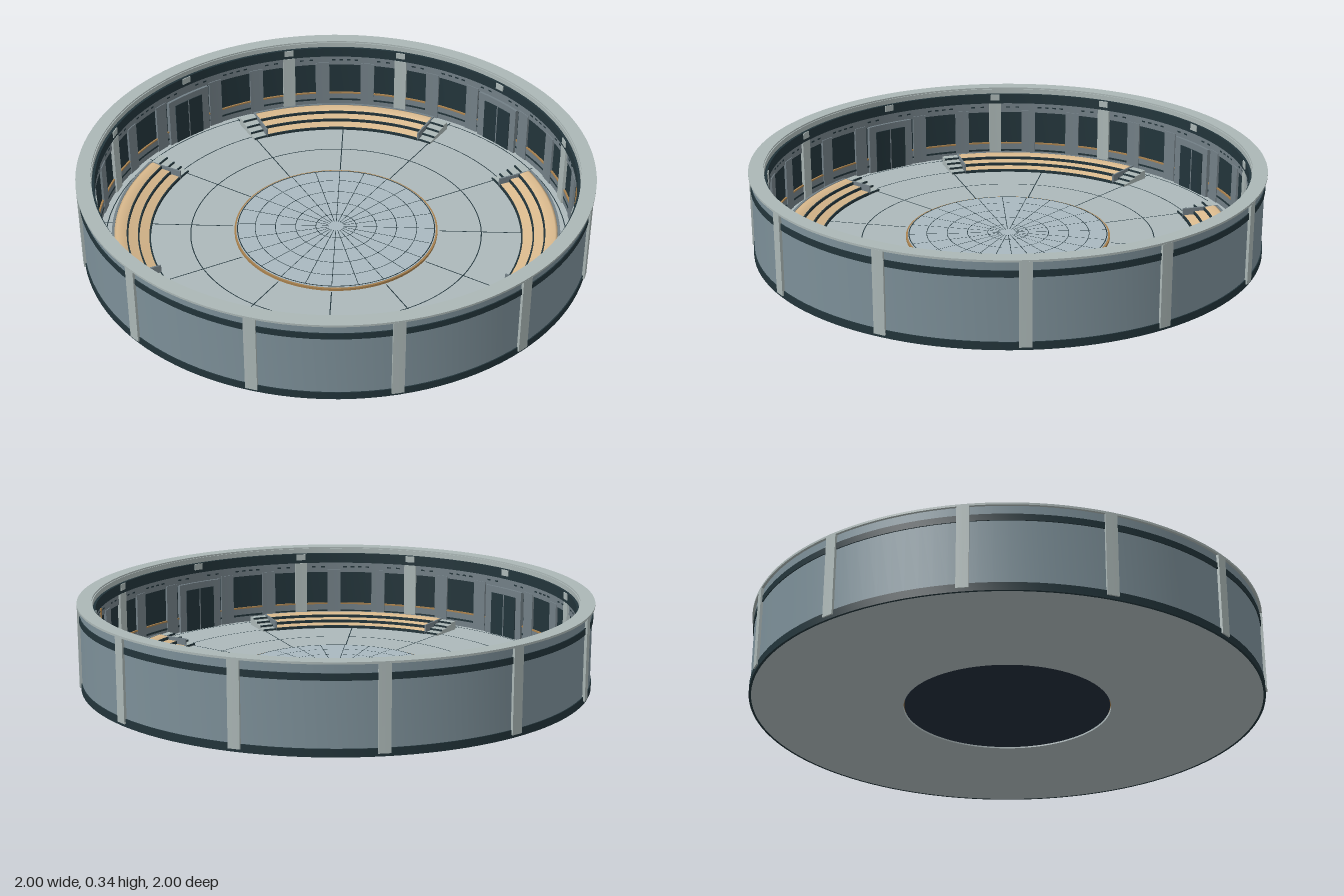
import * as THREE from 'three';
import { toCreasedNormals } from 'three/addons/utils/BufferGeometryUtils.js';

const mat = (name, color, side = THREE.FrontSide) => {
  const m = new THREE.MeshStandardMaterial({ color, side });
  m.name = name;
  return m;
};
const M = {
  floor: mat('pale grey', 0xacb8ba),
  stage: mat('pale blue grey', 0xa9b8bf),
  slate: mat('slate', 0x7c8f98),
  trim: mat('light trim', 0xabb7b6),
  frame: mat('frame grey', 0x727f86),
  dark: mat('dark teal', 0x22343a),
  seat: mat('tan seat', 0xd8b88c, THREE.DoubleSide),
  bronze: mat('bronze', 0xa8814e),
  navy: mat('navy', 0x222c3a),
};
const rad = THREE.MathUtils.degToRad;

export function createModel() {
  const root = new THREE.Group();
  root.name = 'roundArena';

  const add = (name, geo, material, parent = root) => {
    const mesh = new THREE.Mesh(geo, material);
    mesh.name = name;
    parent.add(mesh);
    return mesh;
  };
  const group = (name) => {
    const g = new THREE.Group();
    g.name = name;
    root.add(g);
    return g;
  };

  // Upright extrusion of a flat shape between two heights
  const raise = (shape, y0, y1, curveSegments) => {
    const geo = new THREE.ExtrudeGeometry(shape, { depth: y1 - y0, bevelEnabled: false, curveSegments });
    geo.rotateX(-Math.PI / 2).translate(0, y0, 0);
    return toCreasedNormals(geo, 0.5);
  };
  // Full ring
  const ring = (name, r0, r1, y0, y1, material, parent) => {
    const s = new THREE.Shape().absarc(0, 0, r1, 0, Math.PI * 2, false);
    s.holes.push(new THREE.Path().absarc(0, 0, r0, 0, Math.PI * 2, true));
    return add(name, raise(s, y0, y1, 60), material, parent);
  };
  // Curved block centred on an angle, in degrees
  const arc = (name, r0, r1, y0, y1, centre, half, material, parent) => {
    const a0 = rad(centre - half), a1 = rad(centre + half);
    const s = new THREE.Shape();
    s.absarc(0, 0, r1, a0, a1, false);
    s.absarc(0, 0, r0, a1, a0, true);
    s.closePath();
    return add(name, raise(s, y0, y1, Math.max(2, Math.ceil(half / 2))), material, parent);
  };
  // Thin flat lines set on a floor
  const circleLine = (name, r, w, y, material, parent) => {
    const geo = new THREE.RingGeometry(r - w / 2, r + w / 2, 96).rotateX(-Math.PI / 2);
    add(name, geo, material, parent).position.y = y;
  };
  const radialLine = (name, r0, r1, w, y, deg, material, parent) => {
    const geo = new THREE.PlaneGeometry(r1 - r0, w).rotateX(-Math.PI / 2).translate((r0 + r1) / 2, y, 0);
    add(name, geo, material, parent).rotation.y = rad(deg);
  };

  // Floor and its inlaid lines
  const floor = group('floor');
  ring('floorRing', 0.402, 0.985, 0, 0.02, M.floor, floor);
  for (const r of [0.575, 0.76, 0.91]) circleLine('floorCircle', r, 0.004, 0.0215, M.dark, floor);
  for (let a = 15; a < 360; a += 30) radialLine('floorSeam', 0.41, 0.925, 0.004, 0.0215, a, M.dark, floor);

  // Raised central stage
  const stage = group('stage');
  add('stageTop', new THREE.CylinderGeometry(0.395, 0.395, 0.02, 96), M.stage, stage).position.y = 0.022;
  add('stageUnderside', new THREE.CylinderGeometry(0.398, 0.398, 0.008, 96), M.navy, stage).position.y = 0.008;
  ring('stageEdge', 0.394, 0.402, 0.012, 0.03, M.bronze, stage);
  circleLine('stageBorder', 0.39, 0.004, 0.0335, M.dark, stage);
  for (const r of [0.08, 0.16, 0.24, 0.32]) circleLine('stageCircle', r, 0.0025, 0.0335, M.dark, stage);
  for (let a = 0; a < 360; a += 15) radialLine('stageSeam', 0.03, 0.39, 0.0025, 0.0335, a, M.dark, stage);

  // Outer wall with bands and rim
  const wall = group('wall');
  ring('wallShell', 0.945, 0.99, 0.004, 0.33, M.slate, wall);
  ring('baseBand', 0.985, 0.994, 0, 0.03, M.dark, wall);
  ring('upperBand', 0.985, 0.994, 0.27, 0.295, M.dark, wall);
  ring('rim', 0.944, 1.0, 0.328, 0.336, M.trim, wall);

  // Inside wall layers from top to bottom
  ring('innerRimBand', 0.94, 0.947, 0.31, 0.33, M.trim, wall);
  ring('darkCornice', 0.93, 0.947, 0.268, 0.31, M.dark, wall);
  ring('soffitBand', 0.936, 0.947, 0.225, 0.268, M.frame, wall);
  ring('darkPanels', 0.941, 0.947, 0.085, 0.225, M.dark, wall);
  ring('bronzeRail', 0.934, 0.947, 0.079, 0.085, M.bronze, wall);
  ring('wainscot', 0.936, 0.947, 0.02, 0.079, M.frame, wall);
  ring('wainscotGroove', 0.9345, 0.94, 0.045, 0.053, M.dark, wall);

  // Twelve wall bays: outer pilasters, inner pillars or doors, mullions
  for (let a = 0; a < 360; a += 30) {
    const bay = group('wallBay');
    arc('outerPilaster', 0.985, 1.0, 0.012, 0.33, a, 1.3, M.trim, bay);
    if (a % 90 === 0) {
      arc('doorFrame', 0.925, 0.947, 0.02, 0.228, a, 6.5, M.frame, bay);
      arc('doorPanel', 0.922, 0.93, 0.02, 0.2, a, 4.4, M.dark, bay);
      arc('doorSplit', 0.921, 0.925, 0.02, 0.2, a, 0.15, M.frame, bay);
    } else {
      arc('innerPillar', 0.928, 0.947, 0.02, 0.268, a, 1.6, M.trim, bay);
    }
    arc('corniceBracket', 0.926, 0.947, 0.282, 0.308, a, 1.2, M.trim, bay);
    for (const side of [-1, 1]) {
      arc('mullion', 0.932, 0.947, 0.02, 0.235, a + side * 9, 1.8, M.frame, bay);
      for (const d of [3.5, 6, 12, 14]) {
        arc('soffitLight', 0.9345, 0.94, 0.246, 0.252, a + side * d, 0.5, M.dark, bay);
      }
    }
  }
  arc('bronzePost', 0.932, 0.947, 0.085, 0.26, -45, 0.4, M.bronze, wall);

  // Curved benches: three tiers rising outward, closed ends, stairs at both sides
  const profile = [
    [0.872, 0.02], [0.872, 0.058], [0.862, 0.063], [0.825, 0.06], [0.822, 0.046],
    [0.782, 0.046], [0.779, 0.033], [0.738, 0.033], [0.735, 0.02],
  ].map(([r, y]) => new THREE.Vector2(r, y));
  const START = rad(19), SPAN = rad(52);
  for (let k = 0; k < 4; k++) {
    const bench = group('bench');
    bench.rotation.y = k * Math.PI / 2;
    add('benchTiers', new THREE.LatheGeometry(profile, 24, START, SPAN), M.seat, bench);
    for (const phi of [START, START + SPAN]) {
      add('benchEnd', new THREE.ShapeGeometry(new THREE.Shape(profile)), M.seat, bench).rotation.y = phi - Math.PI / 2;
    }
    for (const [r, y] of [[0.731, 0.02], [0.775, 0.034], [0.818, 0.047]]) {
      arc('tierRiser', r, r + 0.006, y, y + 0.011, -45, 26, M.dark, bench);
    }
    arc('benchBack', 0.872, 0.882, 0.02, 0.06, -45, 26.3, M.frame, bench);
    for (const side of [-1, 1]) {
      const centre = -45 + side * 28.4;
      for (let i = 0; i < 4; i++) {
        const r = 0.732 + i * 0.036, top = 0.029 + i * 0.009;
        arc('stairStep', r, 0.876, 0.02, top, centre, 2.3, M.trim, bench);
        arc('stairNosing', r - 0.002, r + 0.003, top - 0.006, top + 0.001, centre, 2.3, M.dark, bench);
      }
      arc('stairCheek', 0.73, 0.878, 0.02, 0.061, -45 + side * 26.15, 0.25, M.frame, bench);
    }
  }
  return root;
}
